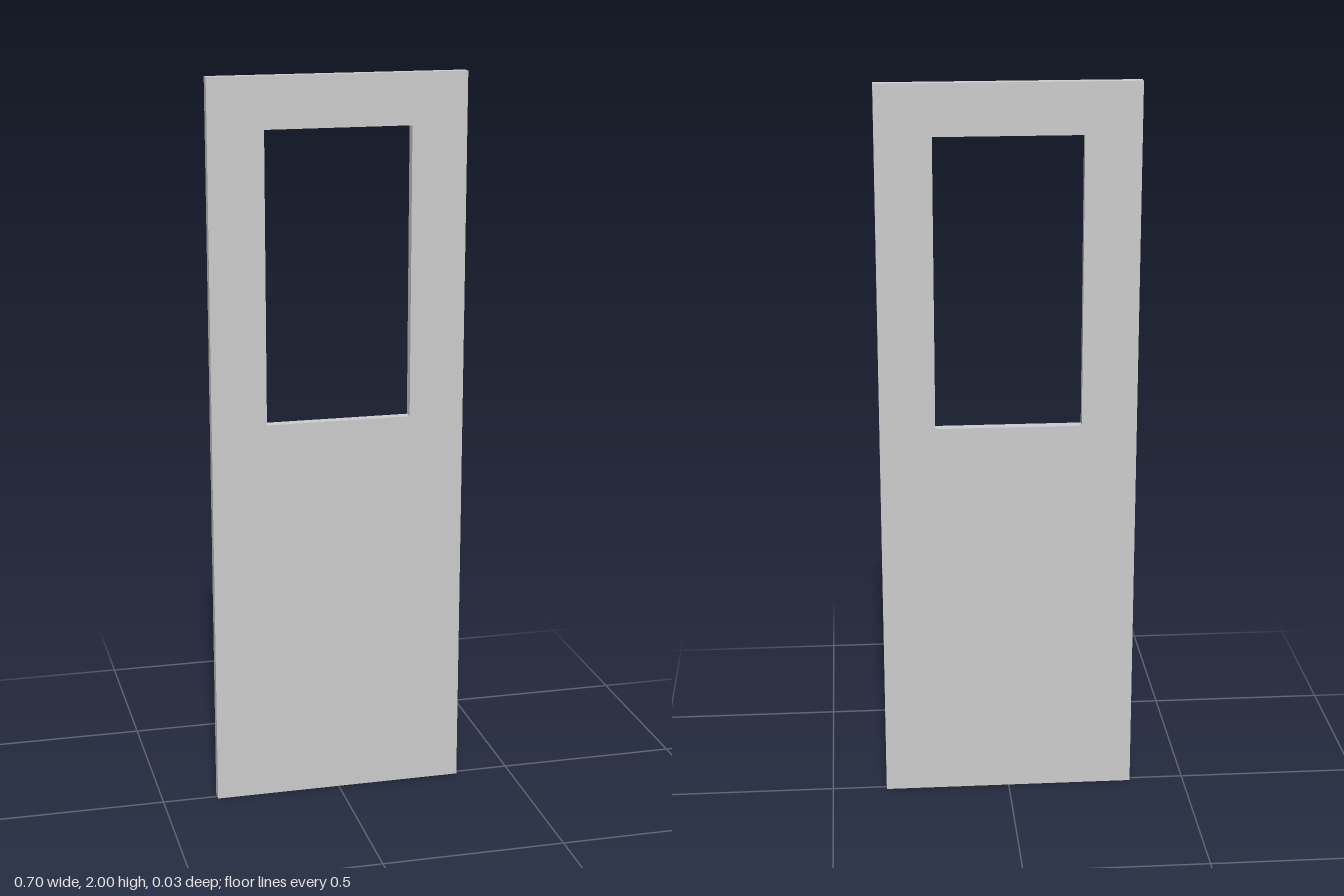
import * as THREE from 'three';

const WIDTH = 0.696, HEIGHT = 2, THICKNESS = 0.028;
const WINDOW = { width: 0.396, bottom: 1.074, top: 1.862 };

// Traces a rectangle centred on x = 0
function traceRect(path, width, bottom, top) {
  const h = width / 2;
  path.moveTo(-h, bottom);
  path.lineTo(h, bottom);
  path.lineTo(h, top);
  path.lineTo(-h, top);
  path.closePath();
  return path;
}

export function createModel() {
  const group = new THREE.Group();
  group.name = 'door';

  // Flat door leaf with a rectangular window opening
  const outline = traceRect(new THREE.Shape(), WIDTH, 0, HEIGHT);
  outline.holes.push(traceRect(new THREE.Path(), WINDOW.width, WINDOW.bottom, WINDOW.top));
  const geometry = new THREE.ExtrudeGeometry(outline, { depth: THICKNESS, bevelEnabled: false });
  geometry.translate(0, 0, -THICKNESS / 2);

  const leaf = new THREE.Mesh(geometry, new THREE.MeshStandardMaterial({ color: 0xcccccc }));
  leaf.name = 'doorLeaf';
  group.add(leaf);
  return group;
}
